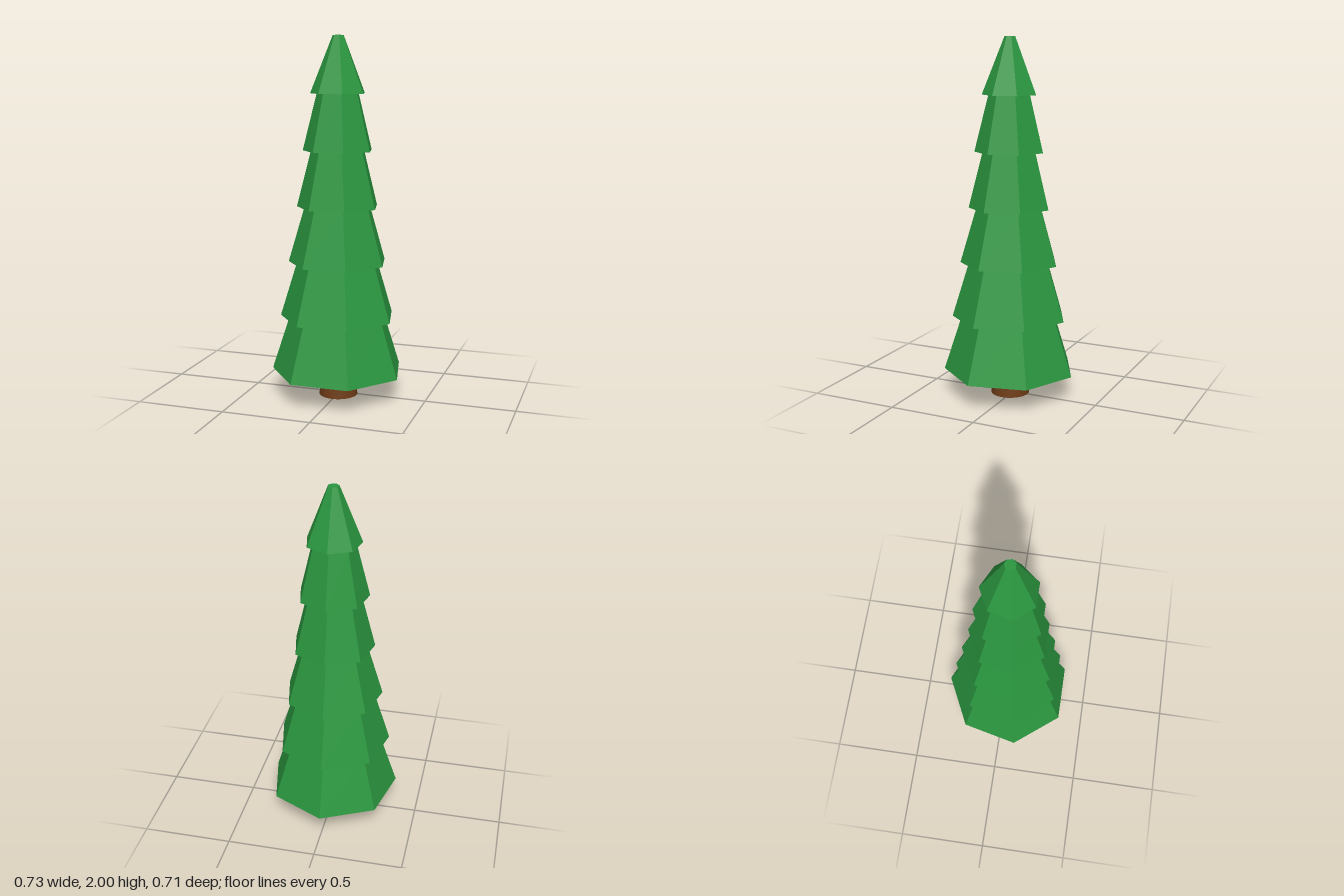
import * as THREE from 'three';

export function createModel() {
  const tree = new THREE.Group();
  tree.name = 'pineTree';

  const needles = new THREE.MeshStandardMaterial({ color: 0x2a963f, flatShading: true });
  const bark = new THREE.MeshStandardMaterial({ color: 0x6e3c17 });

  // Seven-sided outline has a corner at the back, so its axis sits slightly forward
  const axisZ = 0.0185;
  const trunkHeight = 0.14;
  const tierHeight = (2 - trunkHeight) / 6;

  // Round, gently tapered trunk
  const trunk = new THREE.Mesh(new THREE.CylinderGeometry(0.094, 0.108, trunkHeight, 32), bark);
  trunk.name = 'trunk';
  trunk.position.set(0, trunkHeight / 2, axisZ);
  tree.add(trunk);

  // Stacked foliage tiers: [bottom radius, top radius]
  const tiers = [
    [0.3735, 0.273],
    [0.325, 0.23],
    [0.278, 0.187],
    [0.23, 0.151],
    [0.196, 0.118],
    [0.154, 0.0305],
  ];
  tiers.forEach(([bottom, top], i) => {
    const geometry = new THREE.CylinderGeometry(top, bottom, tierHeight, 7, 1, false, Math.PI);
    const tier = new THREE.Mesh(geometry, needles);
    tier.name = `foliageTier${i + 1}`;
    tier.position.set(0, trunkHeight + tierHeight * (i + 0.5), axisZ);
    tree.add(tier);
  });

  return tree;
}
